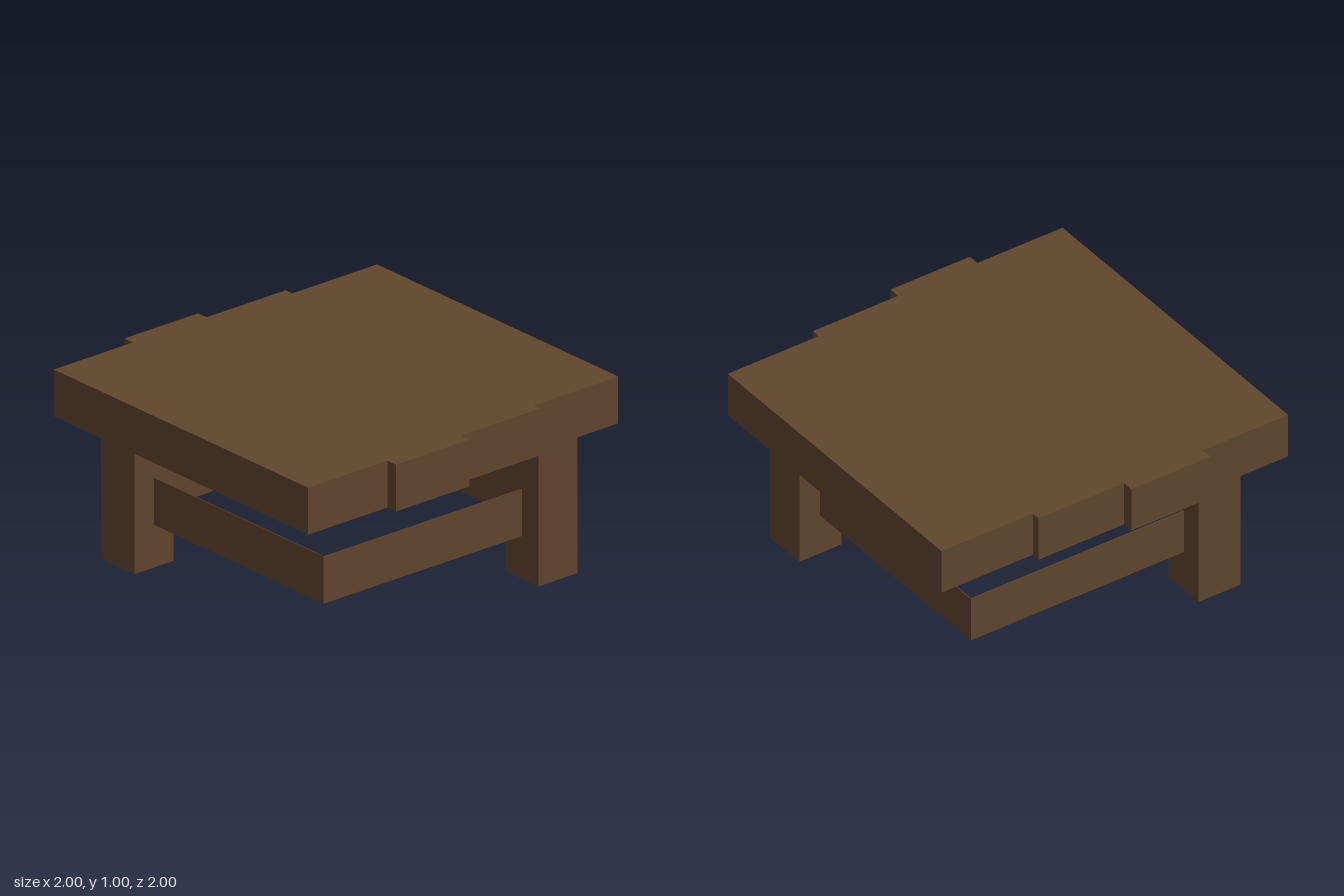
import * as THREE from 'three';

export function createModel() {
  const model = new THREE.Group();
  const wood = new THREE.MeshStandardMaterial({ color: 0x60462d });
  wood.name = 'brown wood';

  // Box spanning the given corner ranges
  function box(name, [x0, x1], [y0, y1], [z0, z1]) {
    const mesh = new THREE.Mesh(new THREE.BoxGeometry(x1 - x0, y1 - y0, z1 - z0), wood);
    mesh.name = name;
    mesh.position.set((x0 + x1) / 2, (y0 + y1) / 2, (z0 + z1) / 2);
    model.add(mesh);
  }

  // Table top: four touching planks of uneven length [x start, x end, half length]
  const planks = [
    [-1, -0.5, 0.937],
    [-0.5, -0.035, 1],
    [-0.035, 0.465, 0.937],
    [0.465, 1, 0.888],
  ];
  planks.forEach(([x0, x1, half], i) => box(`plank${i + 1}`, [x0, x1], [0.755, 1], [-half, half]));

  // Two legs on opposite corners
  box('frontLeg', [0.563, 0.81], [0, 0.755], [0.563, 0.81]);
  box('backLeg', [-0.81, -0.563], [0, 0.755], [-0.81, -0.563]);

  // Square frame of thin rails, on the centre lines of the legs
  const r = 0.687, t = 0.002, y = [0.224, 0.47];
  for (const [side, s] of [['front', 1], ['back', -1]]) {
    box(`${side}Rail`, [-r, r], y, [s * r - t, s * r + t]);
  }
  for (const [side, s] of [['left', 1], ['right', -1]]) {
    box(`${side}Rail`, [s * r - t, s * r + t], y, [-r, r]);
  }
  return model;
}
